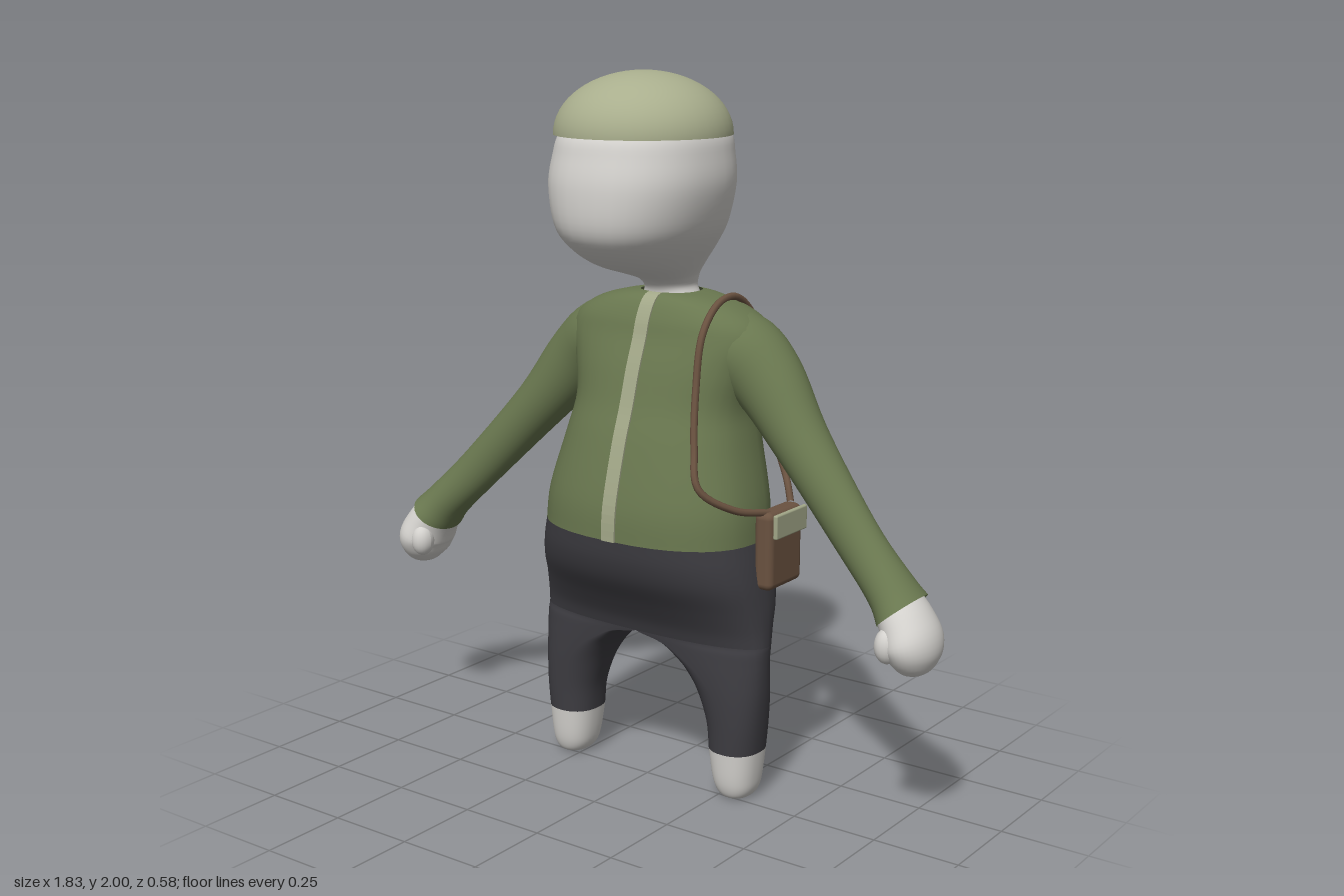
import * as THREE from 'three';
import { RoundedBoxGeometry } from 'three/addons/geometries/RoundedBoxGeometry.js';

const SEG = 36;
const mat = (name, color, side = THREE.FrontSide) => {
  const m = new THREE.MeshStandardMaterial({ color, side });
  m.name = name;
  return m;
};

// Smoothly resample rows of numbers (each column follows a Catmull-Rom spline).
function smooth(rows, steps = 5) {
  const out = [], last = rows.length - 1;
  for (let i = 0; i < last; i++) {
    for (let s = 0; s < steps; s++) {
      const t = s / steps;
      const [a, b, c, d] = [rows[Math.max(i - 1, 0)], rows[i], rows[i + 1], rows[Math.min(i + 2, last)]];
      out.push(b.map((_, k) => 0.5 * (2 * b[k] + (c[k] - a[k]) * t
        + (2 * a[k] - 5 * b[k] + 4 * c[k] - d[k]) * t * t
        + (3 * b[k] - a[k] - 3 * c[k] + d[k]) * t * t * t)));
    }
  }
  out.push(rows[last]);
  return out;
}

// Skin a list of closed rings, optionally closing the start and the end.
function loft(rings, capStart = false, capEnd = false) {
  const n = rings[0].length, pts = rings.flat(), index = [];
  for (let i = 0; i < rings.length - 1; i++) {
    for (let j = 0; j < n; j++) {
      const a = i * n + j, b = i * n + (j + 1) % n, c = b + n, d = a + n;
      index.push(a, d, b, b, d, c);
    }
  }
  const cap = (r, flip) => {
    const mid = rings[r].reduce((s, p) => s.add(p), new THREE.Vector3()).divideScalar(n);
    const m = pts.push(mid) - 1;
    for (let j = 0; j < n; j++) {
      const a = r * n + j, b = r * n + (j + 1) % n;
      index.push(m, flip ? a : b, flip ? b : a);
    }
  };
  if (capStart) cap(0, true);
  if (capEnd) cap(rings.length - 1, false);
  const g = new THREE.BufferGeometry().setFromPoints(pts);
  g.setIndex(index);
  g.computeVertexNormals();
  return g;
}

const power = (v, p) => Math.sign(v) * Math.abs(v) ** (2 / p);
const ring = (fn) => Array.from({ length: SEG }, (_, j) => {
  const a = (j / SEG) * Math.PI * 2;
  return fn(Math.cos(a), Math.sin(a));
});

// Upright section: [y, half width, front z, back z]
const bodyRing = (p) => ([y, w, zf, zb]) => ring((c, s) =>
  new THREE.Vector3(w * power(c, p), y, (zf + zb) / 2 + (zf - zb) / 2 * power(s, p)));

// Leg section: [y, inner x, outer x, front z, back z, roundness]; 0 is half a pelvis, 1 a full oval
const legRing = ([y, xi, xo, zf, zb, t]) => ring((c, s) => {
  const halfX = c > 0 ? xo * power(c, 2.4) : 0;
  const ovalX = (xi + xo) / 2 + (xo - xi) / 2 * power(c, 2.2);
  return new THREE.Vector3(halfX + (ovalX - halfX) * t, y, (zf + zb) / 2 + (zf - zb) / 2 * power(s, 2.4));
});

// Limb rings across a path: [x, y, z, radius in the xy plane, radius in z]
function limbRings(rows) {
  const path = smooth(rows);
  return path.map(([x, y, z, r, rz], i) => {
    const a = path[Math.max(i - 1, 0)], b = path[Math.min(i + 1, path.length - 1)];
    const l = Math.hypot(b[0] - a[0], b[1] - a[1]);
    const ux = (b[1] - a[1]) / l, uy = -(b[0] - a[0]) / l;
    return ring((c, s) => new THREE.Vector3(x + ux * r * c, y + uy * r * c, z + rz * s));
  });
}

function mirrored(g) {
  const m = g.clone().scale(-1, 1, 1), ix = m.index.array;
  for (let i = 0; i < ix.length; i += 3) [ix[i], ix[i + 1]] = [ix[i + 1], ix[i]];
  m.computeVertexNormals();
  return m;
}

export function createModel() {
  const model = new THREE.Group();
  model.name = 'figure';
  const skin = mat('pale skin', 0xd4d2ce);
  const green = mat('jacket green', 0x69774f, THREE.DoubleSide);
  const dark = mat('trouser charcoal', 0x3d3c41, THREE.DoubleSide);
  const sage = mat('hat sage', 0xa9ae8d, THREE.DoubleSide);
  const pale = mat('zip sage', 0xa2a788);
  const brown = mat('leather brown', 0x6a5240);

  const add = (name, geometry, material) => {
    const m = new THREE.Mesh(geometry, material);
    m.name = name;
    model.add(m);
    return m;
  };
  const pair = (name, g, material) => {
    add('left' + name, g, material);
    add('right' + name, mirrored(g), material);
  };

  // Head and neck
  add('head', loft(smooth([
    [1.38, 0.085, -0.04, -0.19], [1.41, 0.068, -0.035, -0.188], [1.435, 0.075, -0.01, -0.19],
    [1.455, 0.09, 0.05, -0.195], [1.49, 0.125, 0.165, -0.208], [1.54, 0.17, 0.245, -0.222],
    [1.6, 0.205, 0.283, -0.238], [1.7, 0.228, 0.288, -0.25], [1.78, 0.222, 0.272, -0.246],
    [1.84, 0.205, 0.25, -0.236], [1.9, 0.15, 0.18, -0.16], [1.94, 0.06, 0.08, -0.06],
  ]).map(bodyRing(2.25)), false, true), skin);

  // Domed hat
  const dome = new THREE.SphereGeometry(1, 40, 16, 0, Math.PI * 2, 0, Math.PI / 2);
  add('hat', dome.scale(0.24, 0.168, 0.243), sage).position.set(0, 1.832, 0.018);

  // Jacket body
  const torso = smooth([
    [0.74, 0.335, 0.18, -0.275], [0.84, 0.325, 0.172, -0.283], [1.0, 0.285, 0.13, -0.285],
    [1.1, 0.268, 0.095, -0.28], [1.2, 0.29, 0.065, -0.275], [1.28, 0.315, 0.035, -0.268],
    [1.33, 0.29, 0.02, -0.255], [1.37, 0.22, 0, -0.23], [1.392, 0.14, -0.02, -0.21],
    [1.4, 0.085, -0.04, -0.19],
  ]);
  add('jacket', loft(torso.map(bodyRing(2.4))), green);

  // Zip strip down the front
  const zip = loft(torso.map(([y, , z]) => [[0.022, -0.003], [0.022, 0.005], [-0.022, 0.005], [-0.022, -0.003]]
    .map(([x, dz]) => new THREE.Vector3(x, y, z + dz))), true, true).toNonIndexed();
  zip.computeVertexNormals();
  add('zip', zip, pale);

  // Sleeves, hands and thumbs
  pair('Sleeve', loft(limbRings([
    [0.1, 1.25, -0.125, 0.11, 0.11], [0.22, 1.245, -0.125, 0.115, 0.12], [0.32, 1.175, -0.12, 0.103, 0.1],
    [0.45, 1.025, -0.09, 0.078, 0.08], [0.645, 0.815, -0.045, 0.066, 0.06],
    [0.76, 0.7, -0.025, 0.064, 0.074], [0.805, 0.65, -0.015, 0.07, 0.094],
  ])), green);
  pair('Hand', loft(limbRings([
    [0.785, 0.67, -0.017, 0.06, 0.08], [0.82, 0.625, -0.01, 0.068, 0.09], [0.845, 0.575, -0.005, 0.072, 0.1],
    [0.85, 0.53, -0.005, 0.06, 0.082], [0.85, 0.5, 0, 0.036, 0.045], [0.85, 0.49, 0, 0.01, 0.012],
  ]), false, true), skin);
  pair('Thumb', new THREE.SphereGeometry(1, 20, 14).scale(0.034, 0.048, 0.036).translate(0.805, 0.575, 0.06), skin);

  // Trousers: hips, then two legs parting at the arch
  add('hips', loft(smooth([
    [0.45, 0.378, 0.055, -0.145], [0.49, 0.376, 0.07, -0.168], [0.55, 0.372, 0.105, -0.212],
    [0.62, 0.362, 0.15, -0.25], [0.68, 0.35, 0.172, -0.268], [0.74, 0.335, 0.18, -0.275],
  ]).map(bodyRing(2.4))), dark);
  pair('Leg', loft(smooth([
    [0.48, 0.18, 0.372, 0.058, -0.155, 0], [0.45, 0.18, 0.378, 0.055, -0.145, 0],
    [0.43, 0.18, 0.378, 0.052, -0.135, 0.32], [0.4, 0.18, 0.377, 0.05, -0.13, 0.53],
    [0.36, 0.18, 0.376, 0.048, -0.127, 0.74], [0.3, 0.185, 0.374, 0.046, -0.125, 0.92],
    [0.22, 0.2, 0.368, 0.044, -0.122, 1], [0.14, 0.21, 0.36, 0.042, -0.12, 1],
  ]).reverse().map(legRing)), dark);
  pair('Foot', loft(smooth([
    [0, 0.265, 0.315, -0.005, -0.07, 1], [0.006, 0.247, 0.332, 0.015, -0.09, 1],
    [0.03, 0.23, 0.346, 0.028, -0.103, 1], [0.07, 0.22, 0.353, 0.036, -0.112, 1], [0.14, 0.21, 0.36, 0.042, -0.12, 1],
  ]).map(legRing), true), skin);

  // Shoulder strap loop
  const strap = new THREE.CatmullRomCurve3([
    [0.37, 0.83, -0.05], [0.33, 0.855, 0.06], [0.27, 0.92, 0.14], [0.235, 1.02, 0.11], [0.21, 1.17, 0.068],
    [0.2, 1.31, 0.025], [0.195, 1.385, -0.06], [0.195, 1.39, -0.15], [0.198, 1.31, -0.24],
    [0.21, 1.17, -0.275], [0.24, 0.98, -0.28], [0.29, 0.87, -0.265], [0.365, 0.83, -0.17],
  ].map((p) => new THREE.Vector3(...p)));
  add('strap', new THREE.TubeGeometry(strap, 90, 0.01, 8), brown);

  // Satchel with a pale flap on its outer side
  add('satchel', new RoundedBoxGeometry(0.058, 0.22, 0.165, 3, 0.02), brown).position.set(0.368, 0.725, -0.103);
  add('satchelFlap', new RoundedBoxGeometry(0.014, 0.068, 0.155, 2, 0.005), pale).position.set(0.403, 0.797, -0.108);
  return model;
}
